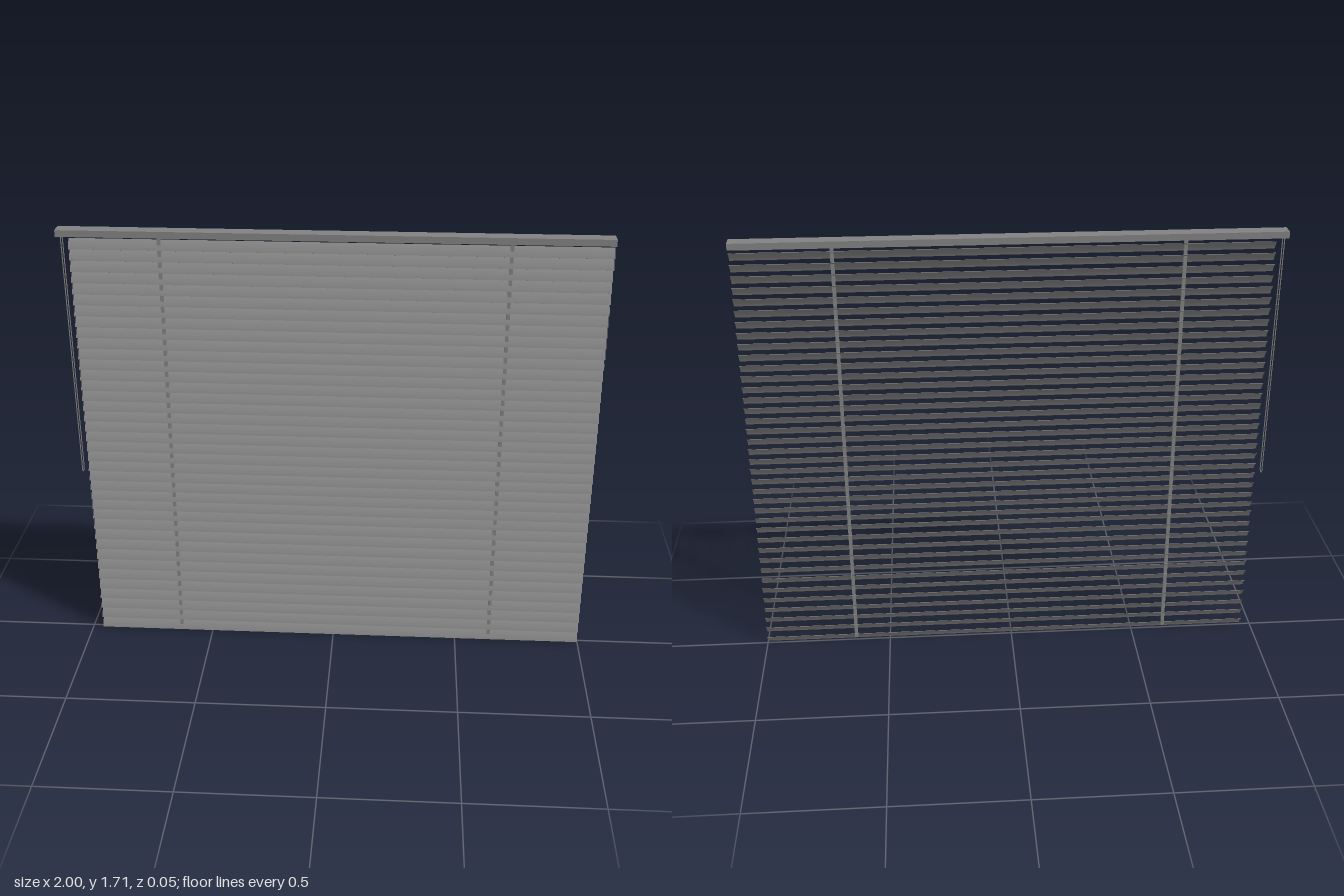
import * as THREE from 'three';

const material = new THREE.MeshStandardMaterial({ color: 0x828282 });

function box(parent, name, size, position) {
  const mesh = new THREE.Mesh(new THREE.BoxGeometry(...size), material);
  mesh.name = name;
  mesh.position.set(...position);
  parent.add(mesh);
}

// Head rail: a closed bar with a shallow recess underneath
function createHeadRail() {
  const rail = new THREE.Group();
  rail.name = 'headRail';
  const wall = 0.003, depth = 0.052, height = 0.025, recess = 0.005, y = 1.6975;
  box(rail, 'railCore', [2 - 2 * wall, height - recess, depth - 2 * wall], [0, y + recess / 2, 0]);
  for (const s of [-1, 1]) {
    box(rail, s > 0 ? 'railFront' : 'railBack', [2, height, wall], [0, y, s * (depth - wall) / 2]);
    box(rail, s > 0 ? 'railEndLeft' : 'railEndRight', [wall, height, depth - 2 * wall], [s * (1 - wall / 2), y, 0]);
  }
  return rail;
}

// One slat: a thin crowned strip, tilted with its front edge low
function createSlatGeometry(length) {
  const shape = new THREE.Shape();
  shape.moveTo(-0.0135, -0.0175);
  shape.quadraticCurveTo(-0.005, 0.004, 0.012, 0.0175);
  shape.lineTo(0.0128, 0.0163);
  shape.quadraticCurveTo(-0.0038, 0.003, -0.0122, -0.018);
  shape.closePath();
  const geometry = new THREE.ExtrudeGeometry(shape, { depth: length, bevelEnabled: false, curveSegments: 5 });
  geometry.translate(0, 0, -length / 2);
  geometry.rotateY(Math.PI / 2);
  return geometry;
}

// Stack of slats, spaced a little wider near the bottom
function createSlats(centreX) {
  const slats = new THREE.Group();
  slats.name = 'slats';
  const geometry = createSlatGeometry(1.96);
  let y = 0.018;
  for (let i = 0; i < 38; i++) {
    const slat = new THREE.Mesh(geometry, material);
    slat.name = 'slat';
    slat.position.set(centreX, y, 0);
    slats.add(slat);
    y += i < 11 ? 0.047 : 0.043;
  }
  return slats;
}

// Pull cord: a long narrow loop hanging beside the slats
function createPullCord() {
  const x = -0.985, front = 0.008, back = -0.018, top = 1.7, bottom = 0.724;
  const v = (y, z) => new THREE.Vector3(x, y, z);
  const path = new THREE.CurvePath();
  const mid = (front + back) / 2, r = (front - back) / 2;
  path.add(new THREE.LineCurve3(v(top, front), v(bottom + r, front)));
  path.add(new THREE.QuadraticBezierCurve3(v(bottom + r, front), v(bottom, front), v(bottom, mid)));
  path.add(new THREE.QuadraticBezierCurve3(v(bottom, mid), v(bottom, back), v(bottom + r, back)));
  path.add(new THREE.LineCurve3(v(bottom + r, back), v(top, back)));
  const cord = new THREE.Mesh(new THREE.TubeGeometry(path, 600, 0.002, 6), material);
  cord.name = 'pullCord';
  return cord;
}

export function createModel() {
  const model = new THREE.Group();
  model.name = 'windowBlind';
  model.add(createHeadRail(), createSlats(0.02), createPullCord());
  // Ladder tapes running through the slats
  for (const x of [-0.63, 0.637]) {
    box(model, 'ladderTape', [0.013, 1.69, 0.012], [x, 0.86, -0.002]);
  }
  return model;
}
